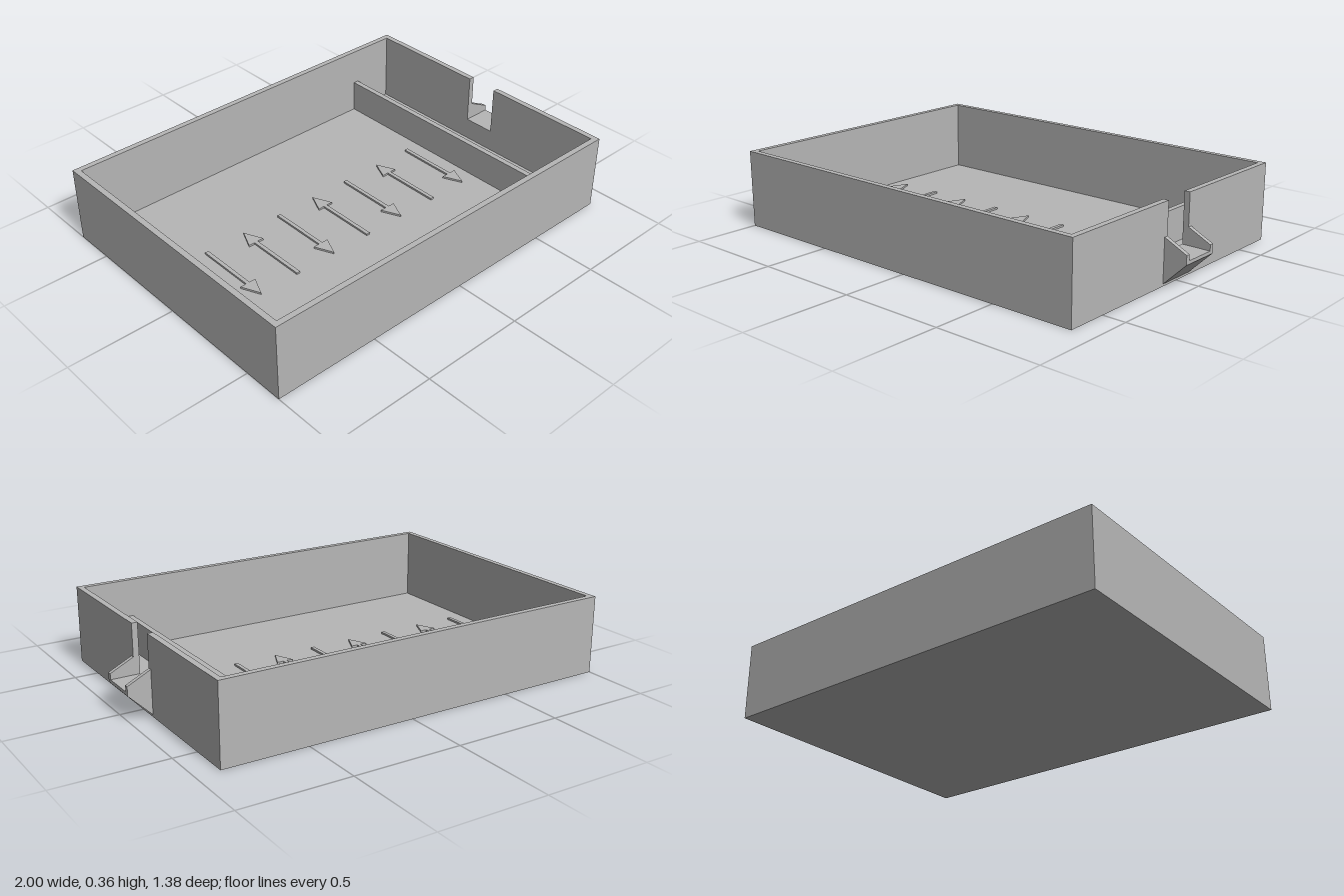
import * as THREE from 'three';

export function createModel() {
  const model = new THREE.Group();
  model.name = 'tray';
  const grey = new THREE.MeshStandardMaterial({ color: 0xb6b6b6 });
  grey.name = 'grey plastic';

  function add(name, geometry) {
    const mesh = new THREE.Mesh(geometry, grey);
    mesh.name = name;
    model.add(mesh);
    return mesh;
  }
  // box given by its lower and upper corners
  function box(name, x0, x1, y0, y1, z0, z1) {
    const mesh = add(name, new THREE.BoxGeometry(x1 - x0, y1 - y0, z1 - z0));
    mesh.position.set((x0 + x1) / 2, (y0 + y1) / 2, (z0 + z1) / 2);
  }
  function extrude(points, depth) {
    const shape = new THREE.Shape(points.map(([x, y]) => new THREE.Vector2(x, y)));
    return new THREE.ExtrudeGeometry(shape, { depth, bevelEnabled: false });
  }

  const X0 = -1, X1 = 0.893, Z = 0.692, H = 0.36, T = 0.027;
  const floorY = 0.025, notchY = 0.13, notchZ = 0.077, spoutZ = 0.097;

  // tray shell
  box('floor', X0, X1, 0, floorY, -Z, Z);
  box('frontWall', X0, X1, floorY, H, Z - T, Z);
  box('backWall', X0, X1, floorY, H, -Z, -Z + T);
  box('rightWall', X0, X0 + T, floorY, H, -Z + T, Z - T);

  // outlet wall with a notch
  box('outletWallFront', X1 - T, X1, floorY, H, notchZ, Z - T);
  box('outletWallBack', X1 - T, X1, floorY, H, -Z + T, -notchZ);
  box('outletWallSill', X1 - T, X1, floorY, notchY, -notchZ, notchZ);

  // low weir in front of the outlet
  box('weir', 0.635, 0.661, floorY, 0.183, -Z + T, Z - T);

  // spout: channel bed and two cheeks
  const bed = [[X1, 0.01], [1, 0.115], [1, notchY], [X1, notchY]];
  const cheek = [[X1, 0.01], [1, 0.115], [1, 0.157], [X1, 0.21]];
  add('spoutBed', extrude(bed, notchZ * 2)).position.z = -notchZ;
  add('spoutCheekFront', extrude(cheek, spoutZ - notchZ)).position.z = notchZ;
  add('spoutCheekBack', extrude(cheek, spoutZ - notchZ)).position.z = -spoutZ;

  // thin raised arrows on the floor, pointing alternately back and front
  const arrow = [
    [-0.009, -0.19], [0.009, -0.19], [0.009, 0.1], [0.04, 0.1],
    [0, 0.19], [-0.04, 0.1], [-0.009, 0.1],
  ];
  const arrowGeometry = extrude(arrow, 0.009).rotateX(-Math.PI / 2);
  for (let i = 0; i < 8; i++) {
    const mesh = add('floorArrow' + (i + 1), arrowGeometry);
    mesh.position.set(-0.167 + (i - 3.5) * 0.205, floorY, 0);
    mesh.rotation.y = i % 2 ? Math.PI : 0;
  }
  return model;
}
